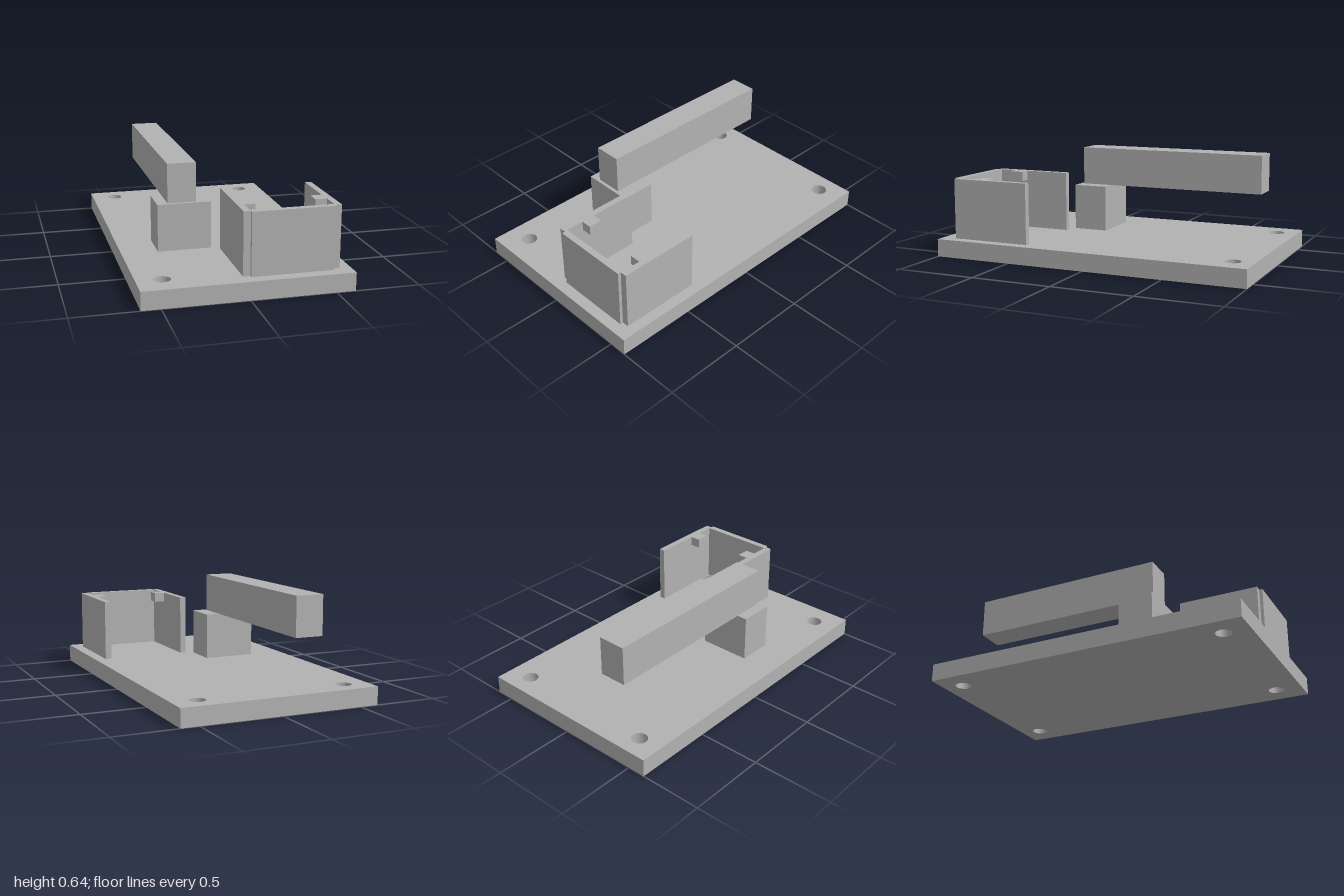
import * as THREE from 'three';

export function createModel() {
  const model = new THREE.Group();
  const grey = new THREE.MeshStandardMaterial({ color: 0xb2b2b2 });
  grey.name = 'grey';

  const add = (name, geometry) => {
    const mesh = new THREE.Mesh(geometry, grey);
    mesh.name = name;
    model.add(mesh);
  };
  // Box given by its limits on each axis
  const box = (name, [x0, x1], [y0, y1], [z0, z1]) =>
    add(name, new THREE.BoxGeometry(x1 - x0, y1 - y0, z1 - z0)
      .translate((x0 + x1) / 2, (y0 + y1) / 2, (z0 + z1) / 2));
  // Plan outline of [x, z] points raised from y0 to y1
  const raise = (name, points, y0, y1, holes = []) => {
    const shape = new THREE.Shape(points.map(([x, z]) => new THREE.Vector2(x, -z)));
    for (const [x, z, r] of holes) {
      shape.holes.push(new THREE.Path().absarc(x, -z, r, 0, Math.PI * 2, true));
    }
    add(name, new THREE.ExtrudeGeometry(shape, { depth: y1 - y0, bevelEnabled: false, curveSegments: 24 })
      .rotateX(-Math.PI / 2).translate(0, y0, 0));
  };

  // Base plate with four screw holes
  const holes = [];
  for (const x of [-0.463, 0.459]) for (const z of [-0.871, 0.843]) holes.push([x, z, 0.048]);
  raise('basePlate', [[-0.613, 1], [0.613, 1], [0.613, -1], [-0.613, -1]], 0, 0.11, holes);

  // Post carrying the long bar
  box('post', [-0.395, -0.069], [0.11, 0.398], [0.165, 0.383]);
  box('bar', [-0.33, -0.157], [0.398, 0.638], [-0.848, 0.362]);

  // Three-sided holder, open at the back, with a raised front panel
  const mid = 0.262;
  const half = [[0.242, 0.93], [0.242, 0.91], [0.284, 0.91], [0.284, 0.407], [0.245, 0.407], [0.245, 0.89]];
  const right = half.map(([x, z]) => [mid + x, z]);
  const left = half.map(([x, z]) => [mid - x, z]).reverse();
  raise('holderWalls', [...right, ...left], 0.11, 0.485);

  // Retaining tabs at the top of the side walls
  box('rightTab', [0.017, 0.084], [0.425, 0.485], [0.694, 0.779]);
  box('leftTab', [0.438, 0.507], [0.425, 0.485], [0.694, 0.779]);

  return model;
}
